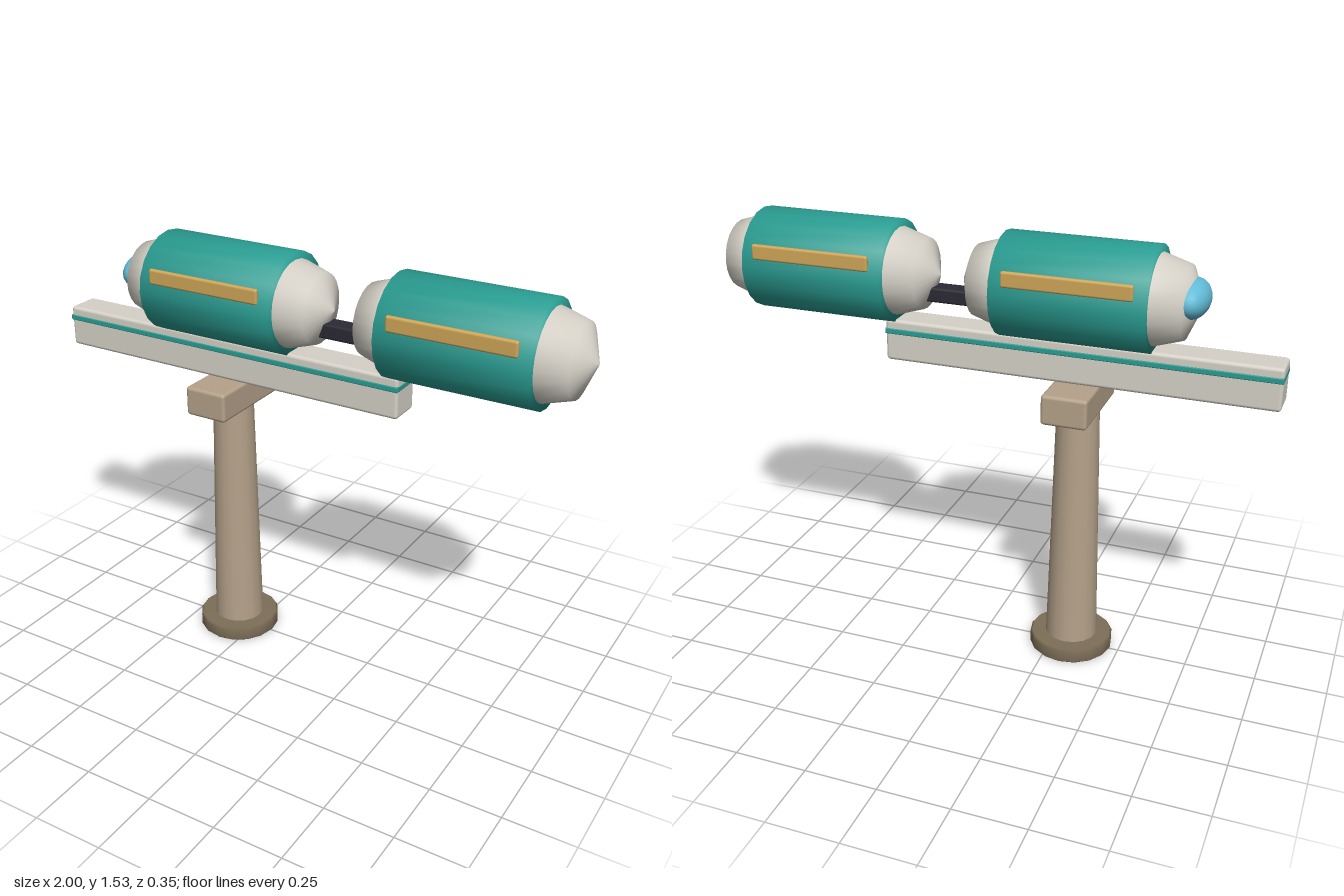
import * as THREE from 'three';
import { RoundedBoxGeometry } from 'three/addons/geometries/RoundedBoxGeometry.js';

const material = (name, color) => {
  const m = new THREE.MeshStandardMaterial({ color });
  m.name = name;
  return m;
};

export function createModel() {
  const teal = material('teal', 0x2a9d92);
  const cream = material('cream', 0xd6d2c8);
  const tan = material('tan', 0xb5a28a);
  const brown = material('brown', 0x7d6f58);
  const gold = material('gold', 0xd0a658);
  const blue = material('blue glass', 0x62bbd6);
  const dark = material('dark', 0x2b2a35);

  const model = new THREE.Group();
  model.name = 'monorail';

  const add = (parent, name, geometry, mat, x = 0, y = 0, z = 0) => {
    const mesh = new THREE.Mesh(geometry, mat);
    mesh.name = name;
    mesh.position.set(x, y, z);
    parent.add(mesh);
    return mesh;
  };
  const box = (w, h, d, r) => new RoundedBoxGeometry(w, h, d, 2, r);
  const lathe = (points, sides) =>
    new THREE.LatheGeometry(points.map(([r, y]) => new THREE.Vector2(r, y)), sides);

  // Support: footing, tapered column and cross head
  const support = new THREE.Group();
  support.name = 'support';
  support.position.x = -0.32;
  model.add(support);
  add(support, 'footing', lathe([[0, 0], [0.143, 0], [0.15, 0.007], [0.15, 0.047], [0.143, 0.054], [0, 0.054]], 16), brown);
  add(support, 'column', new THREE.CylinderGeometry(0.074, 0.093, 0.9, 16), tan, 0, 0.5);
  add(support, 'crossHead', box(0.16, 0.106, 0.352, 0.012), tan, 0, 0.988);

  // Rail beam with a coloured band around it
  add(model, 'railBeam', box(1.365, 0.148, 0.12, 0.012), cream, -0.317, 1.119);
  add(model, 'railBand', box(1.367, 0.02, 0.126, 0.004), teal, -0.317, 1.152);

  // Cars: a drum over a hull with blunt conical ends, and a strip on each side
  const drum = lathe([[0, -0.26], [0.177, -0.26], [0.177, 0.26], [0, 0.26]], 20).rotateZ(-Math.PI / 2);
  const hull = lathe([
    [0, -0.41], [0.122, -0.358], [0.152, -0.26], [0.152, 0.26], [0.122, 0.358], [0, 0.41],
  ], 24).rotateZ(-Math.PI / 2);
  const strip = box(0.436, 0.054, 0.018, 0.008);
  const cars = [['leadCar', -0.315], ['rearCar', 0.588]].map(([name, x]) => {
    const car = new THREE.Group();
    car.name = name;
    car.position.set(x, 1.354, 0);
    model.add(car);
    add(car, 'drum', drum, teal);
    add(car, 'hull', hull, cream);
    for (const side of [-1, 1]) add(car, 'sideStrip', strip, gold, 0, 0.063, side * 0.168);
    return car;
  });

  // Windscreen on the nose of the lead car
  const glass = new THREE.SphereGeometry(1, 20, 14).scale(0.062, 0.065, 0.108);
  add(cars[0], 'windscreen', glass, blue, -0.367, 0.016);

  // Coupler between the cars
  add(model, 'coupler', box(0.24, 0.052, 0.07, 0.008), dark, 0.137, 1.29);

  return model;
}
